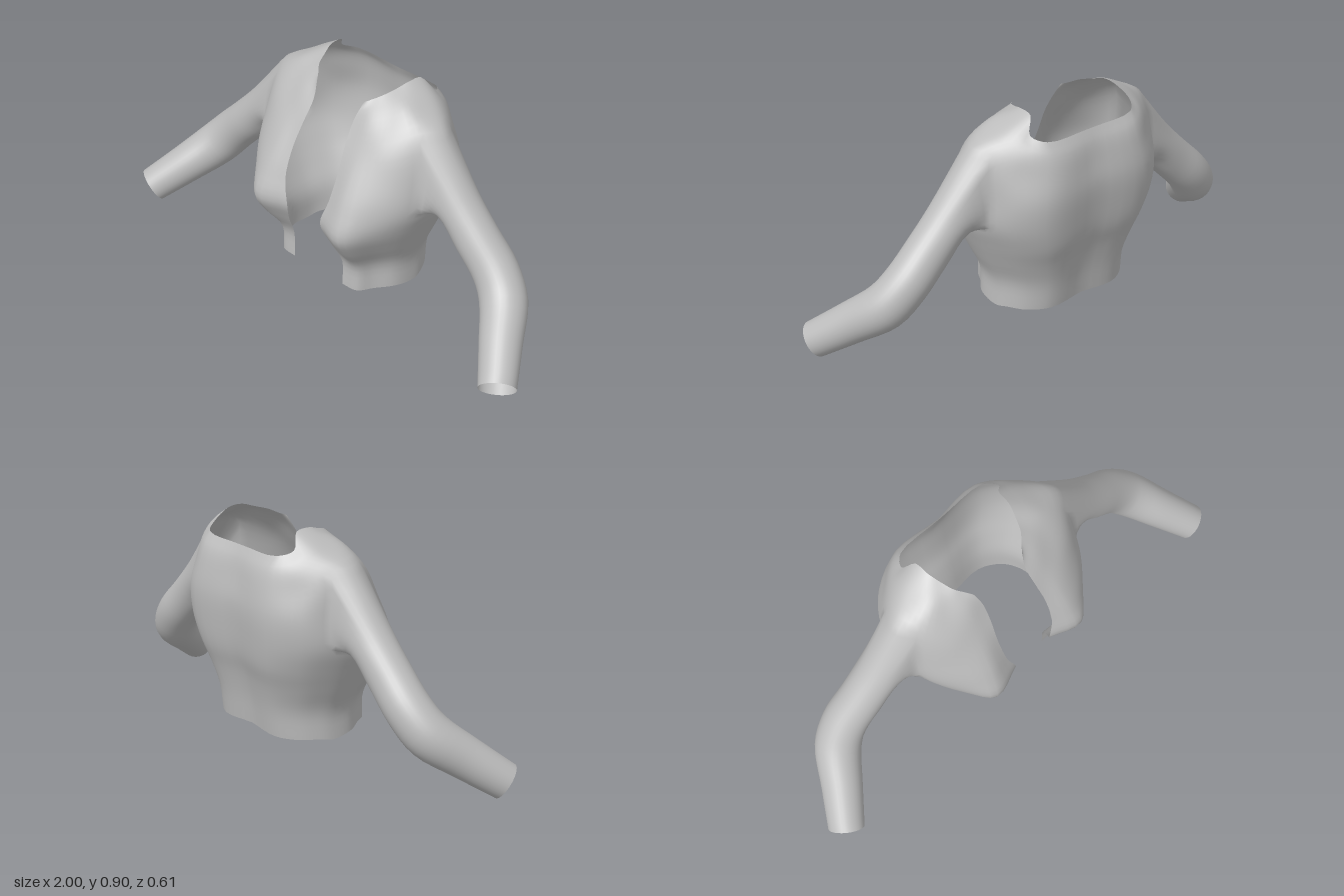
import * as THREE from 'three';

const SUB = 4; // subdivisions per control cell
const V = (x, y, z) => new THREE.Vector3(x, y, z);

// Shoulder yoke rows, each from the front edge over the shoulder to the back centre
const yokeRows = [
  [[.12, .845, .065], [.14, .855, .04], [.165, .87, .01], [.185, .885, -.04], [.2, .9, -.09],
    [.205, .895, -.15], [.24, .84, -.19], [.2, .82, -.24], [0, .815, -.245]],
  [[.105, .78, .1], [.17, .8, .09], [.23, .82, .05], [.28, .845, 0], [.3, .845, -.07],
    [.3, .835, -.14], [.28, .79, -.21], [.19, .77, -.275], [0, .765, -.265]],
  [[.11, .7, .15], [.19, .71, .145], [.28, .72, .12], [.37, .765, .03], [.42, .765, -.05],
    [.38, .755, -.13], [.32, .71, -.21], [.2, .69, -.295], [0, .69, -.28]],
];

// Bodice rows: y, front edge x and z, bust x and z, half width, back z
const bodiceRows = [
  [.6, .12, .2, .2, .215, .41, -.305],
  [.49, .115, .245, .21, .272, .41, -.297],
  [.39, .088, .265, .22, .305, .373, -.28],
  [.3, .11, .235, .215, .257, .335, -.25],
  [.2, .13, .19, .2, .187, .295, -.225],
  [.09, .13, .19, .2, .182, .293, -.208],
];

// Sleeve rings: centre and radius
const sleeveRings = [
  [.5, .525, -.04, .089], [.6, .425, -.037, .086], [.7, .325, -.033, .088],
  [.77, .245, 0, .09], [.855, .152, .11, .08], [.94, .062, .222, .071],
];

function bodiceRow([y, ex, ez, bx, bz, w, back]) {
  return [V(ex, y, ez), V(bx, y, bz), V(w * .8, y, bz * .7), V(w * .97, y, bz * .29), V(w, y - .01, -.04),
    V(w * .95, y, back * .47), V(w * .81, y, back * .77), V(w * .52, y, back), V(0, y + .005, back * .96)];
}

const spline = (points, n) => new THREE.CatmullRomCurve3(points).getPoints(n);

// Points of the sleeve's cross-sections, in the same order as the armhole loop
function sleeveSections(count) {
  const centres = sleeveRings.map(([x, y, z]) => V(x, y, z));
  return sleeveRings.map((ring, k) => {
    const along = centres[Math.min(k + 1, centres.length - 1)].clone().sub(centres[Math.max(k - 1, 0)]).normalize();
    const up = V(0, 0, 1).cross(along).normalize();
    const front = along.clone().cross(up);
    return Array.from({ length: count }, (_, i) => {
      const a = Math.PI / 4 - (i / count) * Math.PI * 2;
      return centres[k].clone().addScaledVector(up, ring[3] * Math.cos(a)).addScaledVector(front, ring[3] * Math.sin(a));
    });
  });
}

// Half of the garment: bodice grid with an armhole, and a sleeve grown from its rim
function buildHalf() {
  const control = [...yokeRows.map(r => r.map(p => V(...p))), ...bodiceRows.map(bodiceRow)];
  const nc = (control[0].length - 1) * SUB;
  const nr = (control.length - 1) * SUB;
  const across = control.map(r => spline(r, nc));
  const columns = across[0].map((_, c) => spline(across.map(r => r[c]), nr));
  const points = [];
  for (let r = 0; r <= nr; r++) for (let c = 0; c <= nc; c++) points.push(columns[c][r]);
  const id = (r, c) => r * (nc + 1) + c;
  const quad = (list, a, right, down, diagonal) => list.push(a, down, right, right, down, diagonal);

  // Bodice faces, leaving the armhole open
  const c0 = 3 * SUB, c1 = 5 * SUB, r0 = 2 * SUB, r1 = 4 * SUB;
  const body = [], sleeve = [];
  for (let r = 0; r < nr; r++) for (let c = 0; c < nc; c++) {
    if (r >= r0 && r < r1 && c >= c0 && c < c1) continue;
    quad(body, id(r, c), id(r, c + 1), id(r + 1, c), id(r + 1, c + 1));
  }

  // Armhole rim, from the top front corner backwards
  const rim = [];
  for (let c = c0; c < c1; c++) rim.push(id(r0, c));
  for (let r = r0; r < r1; r++) rim.push(id(r, c1));
  for (let c = c1; c > c0; c--) rim.push(id(r1, c));
  for (let r = r1; r > r0; r--) rim.push(id(r, c0));

  // Sleeve loft
  const n = rim.length;
  const sections = sleeveSections(n);
  const steps = sections.length * SUB;
  const lines = rim.map((v, i) => {
    const path = spline([points[v], ...sections.map(s => s[i])], steps);
    return path.map((p, j) => (j === 0 ? v : points.push(p) - 1));
  });
  for (let i = 0; i < n; i++) for (let j = 0; j < steps; j++) {
    const next = lines[(i + 1) % n];
    quad(sleeve, lines[i][j], next[j], lines[i][j + 1], next[j + 1]);
  }

  // Shared smooth normals, level across the centre back
  const whole = new THREE.BufferGeometry().setFromPoints(points);
  whole.setIndex([...body, ...sleeve]);
  whole.computeVertexNormals();
  const normal = whole.attributes.normal;
  for (let r = 0; r <= nr; r++) normal.setX(id(r, nc), 0);
  whole.normalizeNormals();
  return [body, sleeve].map(index => {
    const part = new THREE.BufferGeometry();
    part.setAttribute('position', whole.attributes.position);
    part.setAttribute('normal', normal);
    part.setIndex(index);
    return part;
  });
}

export function createModel() {
  const cloth = new THREE.MeshStandardMaterial({ color: 0xbcbcbc, side: THREE.DoubleSide });
  cloth.name = 'grey cloth';
  const group = new THREE.Group();
  group.name = 'croppedJacket';
  const [bodice, sleeve] = buildHalf();
  for (const [side, sign] of [['left', 1], ['right', -1]]) {
    const half = new THREE.Group();
    half.name = side + 'Half';
    half.scale.x = sign;
    for (const [name, geometry] of [['Bodice', bodice], ['Sleeve', sleeve]]) {
      const mesh = new THREE.Mesh(geometry, cloth);
      mesh.name = side + name;
      half.add(mesh);
    }
    group.add(half);
  }
  return group;
}
